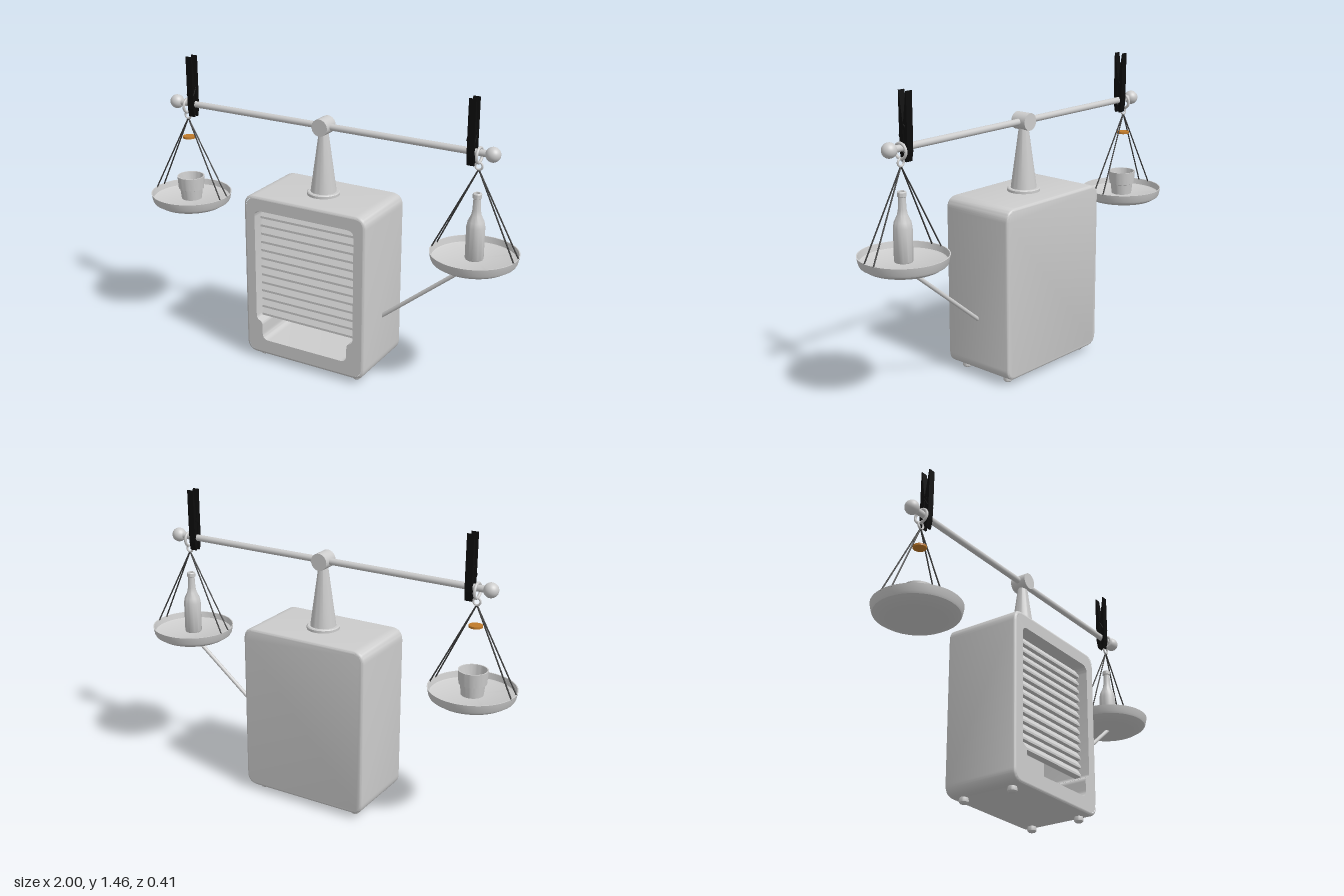
import * as THREE from 'three';
import { toCreasedNormals } from 'three/addons/utils/BufferGeometryUtils.js';

const mat = (name, color, side = THREE.FrontSide) => {
  const m = new THREE.MeshStandardMaterial({ color, side });
  m.name = name;
  return m;
};

export function createModel() {
  const model = new THREE.Group();
  model.name = 'heaterBalanceScale';
  const grey = mat('pale grey', 0xcccccc);
  const black = mat('black', 0x0c0c0c);
  const cord = mat('dark cord', 0x3c3c3c);
  const copper = mat('copper', 0xc07a2a);
  const V = (x, y, z) => new THREE.Vector3(x, y, z);

  function add(parent, name, geometry, material, x = 0, y = 0, z = 0) {
    const mesh = new THREE.Mesh(geometry, material);
    mesh.name = name;
    mesh.position.set(x, y, z);
    parent.add(mesh);
    return mesh;
  }
  const lathe = (pts, seg = 48) =>
    toCreasedNormals(new THREE.LatheGeometry(pts.map(p => new THREE.Vector2(...p)), seg), 0.5);

  // Cylinder between two points
  function rod(parent, name, a, b, r, material, seg = 16) {
    const dir = b.clone().sub(a);
    const mesh = add(parent, name, new THREE.CylinderGeometry(r, r, dir.length(), seg), material);
    mesh.position.copy(a).add(b).multiplyScalar(0.5);
    mesh.quaternion.setFromUnitVectors(V(0, 1, 0), dir.normalize());
  }

  // Outline with rounded corners from [x, y, radius] points
  function rounded(points) {
    const s = new THREE.Shape();
    const n = points.length;
    points.forEach(([x, y, r], i) => {
      const p = new THREE.Vector2(x, y);
      const toward = q => new THREE.Vector2(q[0], q[1]).sub(p).setLength(r).add(p);
      const a = toward(points[(i + n - 1) % n]);
      const b = toward(points[(i + 1) % n]);
      if (i === 0) s.moveTo(a.x, a.y); else s.lineTo(a.x, a.y);
      s.quadraticCurveTo(x, y, b.x, b.y);
    });
    s.closePath();
    return s;
  }
  const rect = (w, y0, y1, r) => rounded([[-w, y0, r], [w, y0, r], [w, y1, r], [-w, y1, r]]);

  // Drop the triangles that lie on the front plane
  function openFront(geometry, z) {
    const src = geometry.index ? geometry.toNonIndexed() : geometry;
    const p = src.attributes.position;
    const keep = [];
    for (let i = 0; i < p.count; i += 3) {
      if (Math.min(p.getZ(i), p.getZ(i + 1), p.getZ(i + 2)) > z - 1e-4) continue;
      for (let k = i; k < i + 3; k++) keep.push(p.getX(k), p.getY(k), p.getZ(k));
    }
    const out = new THREE.BufferGeometry();
    out.setAttribute('position', new THREE.Float32BufferAttribute(keep, 3));
    return out;
  }

  // Heater case: rounded shell, front frame and deep recess
  const D = 0.196, bevel = 0.014;
  const heater = new THREE.Group();
  heater.name = 'heater';
  model.add(heater);
  const shell = new THREE.ExtrudeGeometry(rect(0.334, 0.027, 0.87, 0.06), {
    depth: 2 * (D - bevel), bevelThickness: bevel, bevelSize: bevel,
    bevelOffset: -bevel, bevelSegments: 4, curveSegments: 10,
  });
  shell.translate(0, 0, bevel - D);
  add(heater, 'caseShell', toCreasedNormals(openFront(shell, D), 0.6), grey);

  const openingPoints = [
    [-0.24, 0.107, 0.035], [0.24, 0.107, 0.035], [0.24, 0.205, 0.02], [0.273, 0.215, 0.02],
    [0.273, 0.797, 0.035], [-0.273, 0.797, 0.035], [-0.273, 0.215, 0.02], [-0.24, 0.205, 0.02],
  ];
  const opening = rounded(openingPoints);
  const face = rect(0.334 - bevel, 0.027 + bevel, 0.87 - bevel, 0.05);
  face.holes.push(opening);
  add(heater, 'frontFrame', new THREE.ShapeGeometry(face, 10), grey, 0, 0, D);

  const recess = new THREE.ExtrudeGeometry(opening, { depth: 0.26, bevelEnabled: false, curveSegments: 8 });
  recess.translate(0, 0, D - 0.26);
  const lining = openFront(recess, D);
  lining.scale(-1, 1, 1); // turns the walls inward
  add(heater, 'recessLining', toCreasedNormals(lining, 0.6), grey);

  // Louvred grille with a sawtooth section
  const slats = 13, top = 0.785, pitch = 0.0435;
  const saw = new THREE.Shape();
  saw.moveTo(-0.12, top);
  for (let i = 0; i < slats; i++) {
    const y = top - i * pitch;
    saw.lineTo(-0.135, y);
    saw.lineTo(-0.155, y - pitch * 0.7);
    saw.lineTo(-0.155, y - pitch * 0.95);
    saw.lineTo(-0.135, y - pitch);
  }
  saw.lineTo(-0.12, top - slats * pitch);
  const grille = new THREE.ExtrudeGeometry(saw, { depth: 0.53, bevelEnabled: false });
  grille.translate(0, 0, -0.265).rotateY(Math.PI / 2);
  add(heater, 'louvreGrille', grille, grey);

  // Feet
  for (const x of [-0.267, 0.267]) for (const z of [-0.135, 0.135])
    add(heater, 'foot', lathe([[0, 0], [0.016, 0], [0.022, 0.006], [0.023, 0.015], [0.02, 0.03]], 20), grey, x, 0, z);

  // Post, pivot and beam
  const beamY = 1.21;
  add(model, 'post', lathe([[0.08, 0.868], [0.08, 0.882], [0.075, 0.886], [0.063, 0.886], [0.022, 1.19]]), grey);
  add(model, 'pivot', new THREE.CylinderGeometry(0.042, 0.042, 0.084, 32), grey, 0, beamY).rotation.x = Math.PI / 2;
  rod(model, 'beam', V(-0.84, beamY, 0), V(0.84, beamY, 0), 0.016, grey, 24);
  rod(model, 'panBrace', V(0.79, 0.672, 0), V(0.3, 0.275, 0), 0.01, grey);

  // One half of a clothes peg, cut around the beam
  const prong = new THREE.Shape();
  prong.moveTo(0.025, 1.455);
  for (const [z, y] of [[0.021, 1.455], [0.002, 1.32], [0.002, 1.235], [0.012, 1.222], [0.015, 1.21],
    [0.012, 1.198], [0.002, 1.185], [0.008, 1.147], [0.016, 1.147], [0.024, 1.19], [0.025, 1.3]]) prong.lineTo(z, y);
  const prongGeometry = new THREE.ExtrudeGeometry(prong, { depth: 0.034, bevelEnabled: false });
  prongGeometry.translate(0, 0, -0.017).rotateY(Math.PI / 2);

  const pan = lathe([[0, 0.664], [0.13, 0.666], [0.17, 0.676], [0.195, 0.692], [0.2, 0.702],
    [0.207, 0.735], [0.202, 0.735], [0.196, 0.706], [0.188, 0.702], [0, 0.702]], 64);

  // Each end of the balance
  for (const s of [-1, 1]) {
    const side = new THREE.Group();
    side.name = s > 0 ? 'leftBalance' : 'rightBalance';
    side.position.x = s * 0.793;
    model.add(side);
    add(side, 'endBall', new THREE.SphereGeometry(0.035, 32, 20), grey, s * 0.064, beamY);
    add(side, 'beamRing', new THREE.TorusGeometry(0.034, 0.007, 10, 32), grey, 0, 1.197).rotation.y = Math.PI / 2;
    add(side, 'hangingRing', new THREE.TorusGeometry(0.017, 0.005, 8, 24), grey, 0, 1.147);

    // Clothes peg
    const peg = new THREE.Group();
    peg.name = 'clothesPeg';
    peg.position.x = -s * 0.035;
    side.add(peg);
    add(peg, 'prongBack', prongGeometry, black);
    add(peg, 'prongFront', prongGeometry, black).rotation.y = Math.PI;
    rod(peg, 'pegSpring', V(-0.021, 1.3, 0), V(0.021, 1.3, 0), 0.012, black);
    for (const x of [-0.019, 0.019]) rod(peg, 'springArm', V(x, 1.3, 0), V(x, 1.26, 0.022), 0.003, black, 6);

    // Pan and its four cords
    add(side, 'pan', pan, grey);
    for (const x of [-0.202, 0.202]) for (const z of [-0.03, 0.03])
      rod(side, 'panCord', V(0, 1.132, 0), V(x, 0.73, z), 0.0035, cord, 8);
  }

  // Bottle on the left pan
  add(model, 'bottle', lathe([[0, 0.702], [0.04, 0.702], [0.043, 0.708], [0.043, 0.86], [0.038, 0.885], [0.024, 0.915],
    [0.019, 0.94], [0.017, 0.995], [0.021, 0.998], [0.021, 1.016], [0.018, 1.02], [0.012, 1.02], [0.012, 0.93], [0, 0.93]], 32), grey, 0.793);

  // Cup on the right pan, with a copper coin above it
  add(model, 'cup', lathe([[0, 0.702], [0.052, 0.702], [0.058, 0.755], [0.065, 0.758], [0.07, 0.823],
    [0.064, 0.823], [0.05, 0.715], [0, 0.715]]), grey, -0.793);
  add(model, 'coin', new THREE.CylinderGeometry(0.032, 0.032, 0.01, 32), copper, -0.793, 1.032);

  return model;
}
